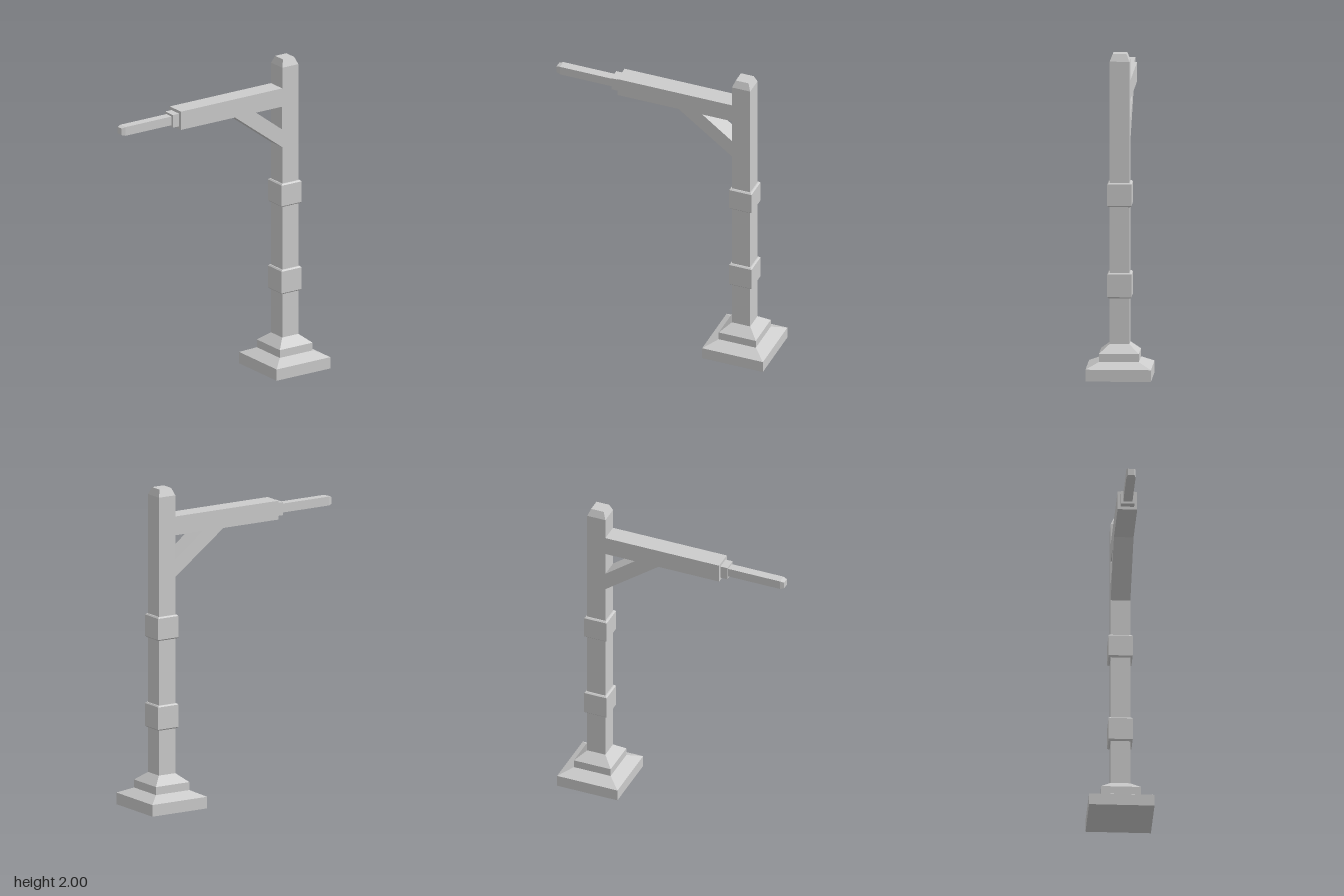
import * as THREE from 'three';

const material = new THREE.MeshStandardMaterial({ color: 0xcccccc, flatShading: true });
const POST_X = 0.512;

// Square solid rising along y from a profile of [half width, height]
function squareLathe(name, profile) {
  const closed = [[0, profile[0][1]], ...profile, [0, profile[profile.length - 1][1]]];
  const points = closed.map(([h, y]) => new THREE.Vector2(h * Math.SQRT2, y));
  const mesh = new THREE.Mesh(new THREE.LatheGeometry(points, 4, Math.PI / 4), material);
  mesh.name = name;
  return mesh;
}

export function createModel() {
  const model = new THREE.Group();
  model.name = 'signPost';

  // Upright: stepped base, shaft with chamfered top, two bands
  const upright = new THREE.Group();
  upright.name = 'upright';
  upright.position.x = POST_X;
  upright.add(squareLathe('base', [
    [0.2, 0], [0.2, 0.073], [0.122, 0.11], [0.122, 0.16], [0.06, 0.212],
  ]));
  upright.add(squareLathe('shaft', [[0.06, 0.2], [0.06, 1.955], [0.042, 2]]));
  [[0.495, 0.651], [1.058, 1.207]].forEach(([y0, y1], i) => {
    upright.add(squareLathe(i ? 'upperBand' : 'lowerBand', [
      [0.066, y0], [0.074, y0 + 0.008], [0.074, y1 - 0.008], [0.066, y1],
    ]));
  });
  model.add(upright);

  // Arm and diagonal brace cut from one slab, with a triangular opening
  const toShape = (Type, pts) => new Type(pts.map(([x, y]) => new THREE.Vector2(x, y)));
  const inner = POST_X - 0.06;
  const outline = toShape(THREE.Shape, [
    [-0.303, 1.704], [0.1, 1.704], [inner, 1.442], [inner, 1.822], [-0.303, 1.822],
  ]);
  outline.holes.push(toShape(THREE.Path, [
    [0.256, 1.704], [inner - 0.001, 1.704], [inner - 0.001, 1.557],
  ]));
  const slab = new THREE.ExtrudeGeometry(outline, { depth: 0.12, bevelEnabled: false });
  slab.translate(0, 0, -0.06);
  const arm = new THREE.Mesh(slab, material);
  arm.name = 'armAndBrace';
  model.add(arm);

  // Collar and slim tip pointing outwards along -x
  const end = new THREE.Group();
  end.name = 'armEnd';
  end.position.set(-0.3, 1.763, 0);
  end.rotation.z = Math.PI / 2;
  end.add(squareLathe('collar', [[0.041, 0], [0.041, 0.05]]));
  end.add(squareLathe('tip', [[0.028, 0.04], [0.028, 0.393], [0.021, 0.418]]));
  model.add(end);

  return model;
}
